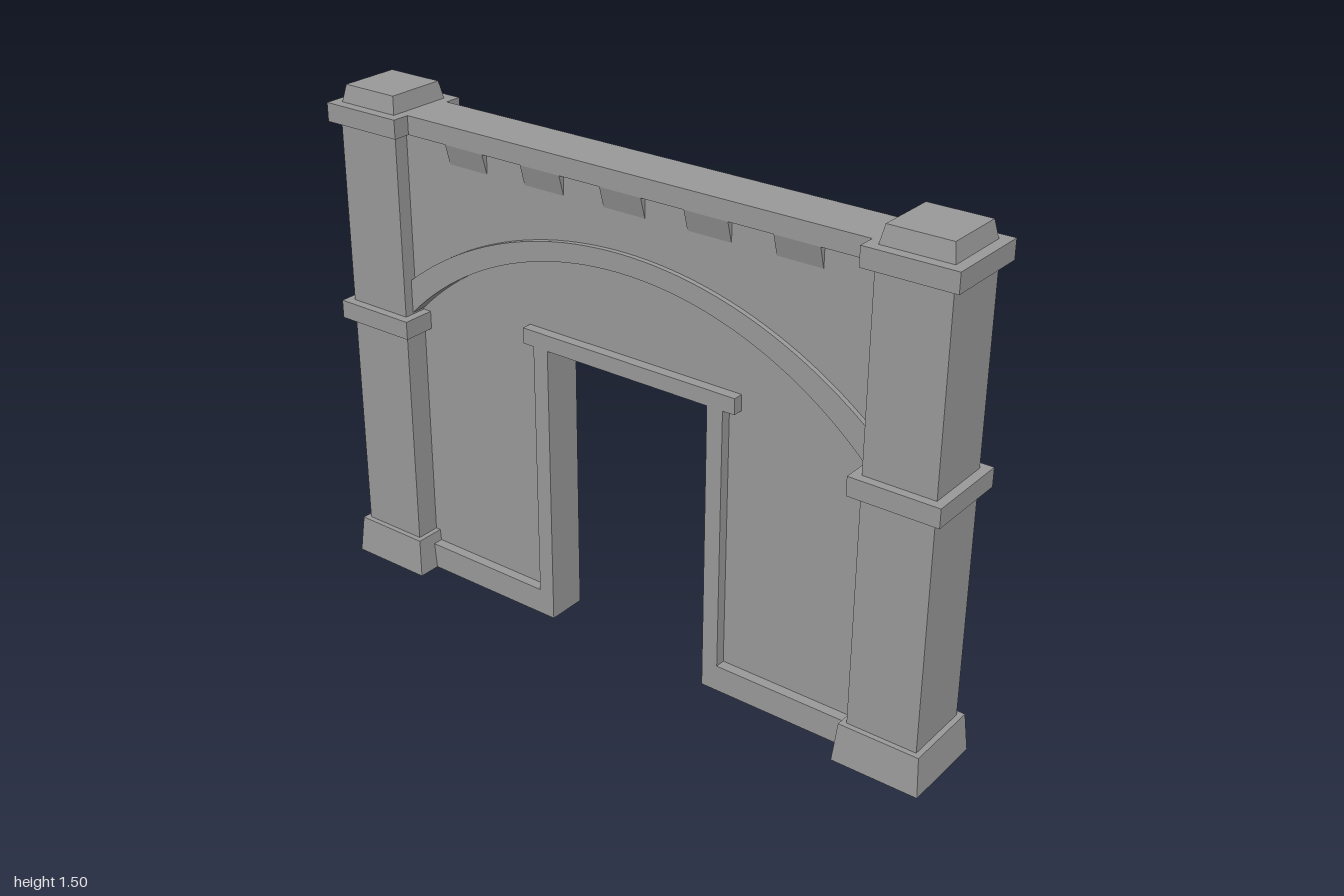
import * as THREE from 'three';

const material = new THREE.MeshStandardMaterial({ color: 0x999999, flatShading: true, side: THREE.DoubleSide });

export function createModel() {
  const model = new THREE.Group();

  function add(name, geometry, parent = model) {
    const mesh = new THREE.Mesh(geometry, material);
    mesh.name = name;
    parent.add(mesh);
    return mesh;
  }

  // Box from half thickness in x and ranges in y and z
  function block(name, halfX, y0, y1, z0, z1, parent) {
    const mesh = add(name, new THREE.BoxGeometry(2 * halfX, y1 - y0, z1 - z0), parent);
    mesh.position.set(0, (y0 + y1) / 2, (z0 + z1) / 2);
    return mesh;
  }

  // Drops the faces lying on the ground, leaving a hollow underside
  function openBottom(geometry) {
    const g = geometry.index ? geometry.toNonIndexed() : geometry;
    const p = g.attributes.position;
    const kept = [];
    for (let i = 0; i < p.count; i += 3) {
      if ([0, 1, 2].some((k) => p.getY(i + k) > 1e-5)) kept.push(i, i + 1, i + 2);
    }
    g.clearGroups();
    g.setIndex(kept);
    return g;
  }

  // Square frustum
  function frustum(name, halfBottom, halfTop, y0, y1, parent) {
    const g = new THREE.BoxGeometry(2, y1 - y0, 2);
    const p = g.attributes.position;
    for (let i = 0; i < p.count; i++) {
      const h = p.getY(i) > 0 ? halfTop : halfBottom;
      p.setXYZ(i, p.getX(i) * h, p.getY(i) + (y0 + y1) / 2, p.getZ(i) * h);
    }
    g.computeVertexNormals();
    return add(name, openBottom(g), parent);
  }

  // Outline in (z, y), extruded symmetrically along x
  function slab(name, points, halfX) {
    const shape = new THREE.Shape(points.map(([z, y]) => new THREE.Vector2(z, y)));
    const g = new THREE.ExtrudeGeometry(shape, { depth: 2 * halfX, bevelEnabled: false });
    g.translate(0, 0, -halfX).rotateY(-Math.PI / 2);
    return add(name, openBottom(g));
  }

  // Circular arc over the span, given its peak and springing heights
  const span = 0.766;
  function arc(peak, spring, n = 44) {
    const sag = peak - spring;
    const r = (span * span + sag * sag) / (2 * sag);
    const a = Math.asin(span / r);
    return Array.from({ length: n + 1 }, (_, i) => {
      const t = -a + (2 * a * i) / n;
      return [r * Math.sin(t), peak - r + r * Math.cos(t)];
    });
  }
  const inner = arc(1.172, 0.855);
  const outer = arc(1.226, 0.955);

  // Pillars with flared base, two bands and a tapered cap
  for (const side of [1, -1]) {
    const pillar = new THREE.Group();
    pillar.name = side > 0 ? 'frontPillar' : 'backPillar';
    pillar.position.z = side * 0.87;
    model.add(pillar);
    frustum('pillarBase', 0.13, 0.12, 0, 0.115, pillar);
    block('pillarShaft', 0.104, 0.115, 1.42, -0.104, 0.104, pillar);
    block('middleBand', 0.13, 0.795, 0.85, -0.13, 0.13, pillar);
    block('topBand', 0.13, 1.395, 1.45, -0.13, 0.13, pillar);
    frustum('pillarCap', 0.1, 0.09, 1.45, 1.5, pillar);
  }

  // Recessed wall around the doorway
  slab('recessedWall', [
    [-span, 0], [-0.3, 0], [-0.3, 0.89], [0.3, 0.89], [0.3, 0], [span, 0],
    ...[...inner].reverse().map(([z, y]) => [z, y + 0.01]),
  ], 0.03);

  // Thicker wall above the arch, and the raised arch rib
  slab('upperWall', [...inner, [span, 1.395], [-span, 1.395]], 0.06);
  slab('archRib', [...inner, ...[...outer].reverse()], 0.075);

  // Door frame with eared lintel, running into the low plinth on each side
  const frameHalf = [[0.27, 0.868], [0.27, 0], [0.78, 0], [0.78, 0.08], [0.32, 0.08],
    [0.32, 0.868], [0.357, 0.868], [0.357, 0.915]];
  slab('doorFrameAndPlinth', [
    ...frameHalf, ...[...frameHalf].reverse().map(([z, y]) => [-z, y]),
  ], 0.061);

  // Coping with sloped corbels below it
  block('coping', 0.078, 1.395, 1.45, -0.74, 0.74);
  for (let i = -2; i <= 2; i++) {
    const z = i * 0.268;
    const corbel = block('corbel', 0.078, 1.335, 1.395, z - 0.067, z + 0.067);
    const p = corbel.geometry.attributes.position;
    for (let k = 0; k < p.count; k++) {
      if (p.getY(k) < 0) p.setX(k, Math.sign(p.getX(k)) * 0.061);
    }
    corbel.geometry.computeVertexNormals();
  }

  return model;
}
